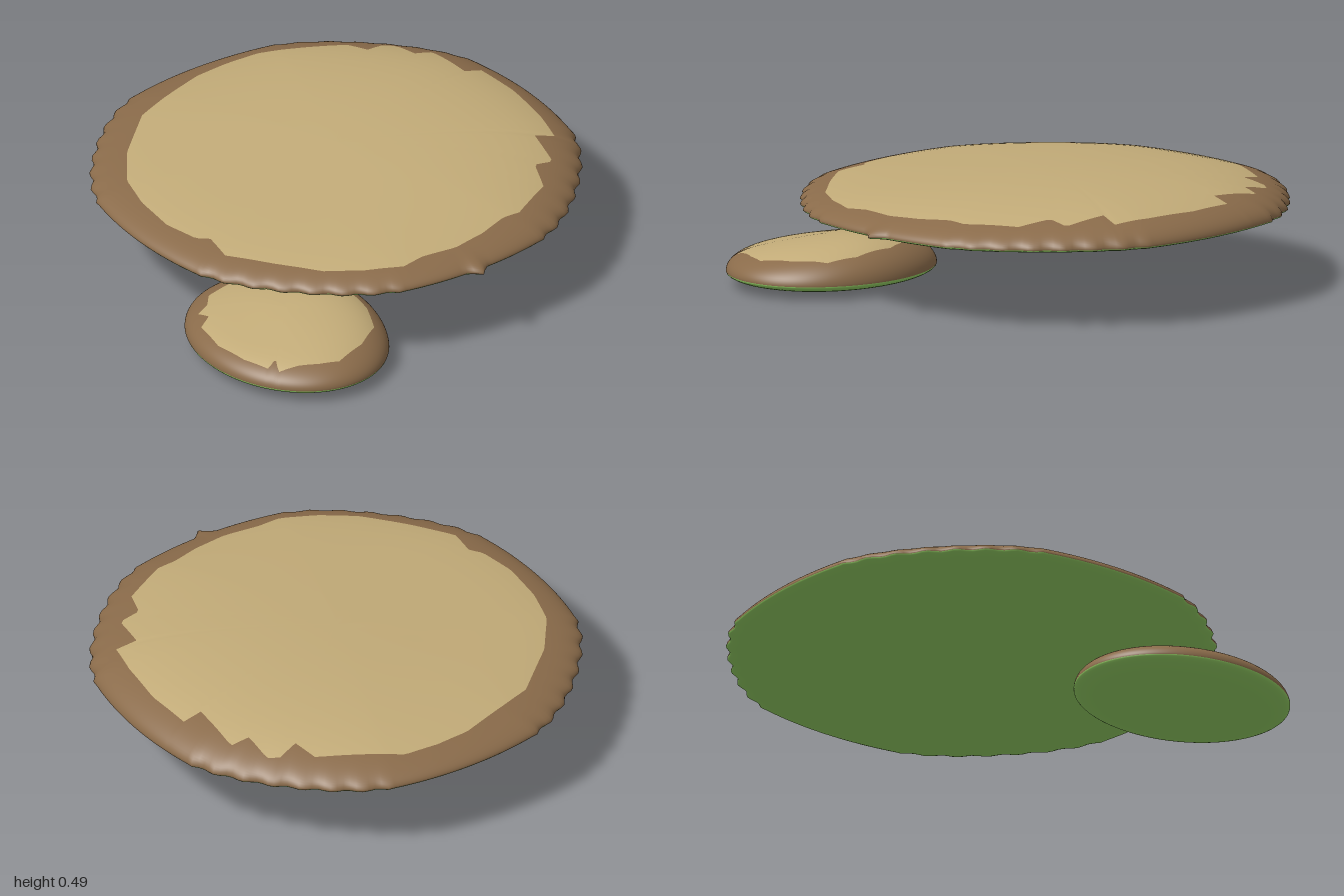
import * as THREE from 'three';

const COLS = 240;
const mat = (name, color) => Object.assign(new THREE.MeshStandardMaterial({ color }), { name });

// Distance from (cx, cz) to a closed outline along direction a
function rayToOutline(pts, cx, cz, a) {
  const dx = Math.cos(a), dz = Math.sin(a);
  let best = 0;
  pts.forEach(([x1, z1], i) => {
    const [x2, z2] = pts[(i + 1) % pts.length];
    const ex = x2 - x1, ez = z2 - z1, den = dx * ez - dz * ex;
    if (Math.abs(den) < 1e-9) return;
    const px = x1 - cx, pz = z1 - cz;
    const t = (px * ez - pz * ex) / den, s = (px * dz - pz * dx) / den;
    if (t > 0 && s >= -1e-6 && s <= 1 + 1e-6) best = Math.max(best, t);
  });
  return best;
}

// Domed disc made of rings: patch, outer rim, then underside
function domedDisc({ name, cx, cz, rimY, rise, drop, tilt, radius, ripple, patch }, materials) {
  const pos = [], index = [];
  const rings = [12, 12, 16];
  const rows = rings[0] + rings[1] + rings[2];
  for (let r = 0; r <= rows; r++) {
    for (let c = 0; c < COLS; c++) {
      const a = (c / COLS) * Math.PI * 2, sin = Math.sin(a);
      const R = radius(a);
      const edge = Math.asin(Math.min(0.985, rayToOutline(patch, cx, cz, a) / R));
      let phi;
      if (r <= rings[0]) phi = edge * r / rings[0];
      else if (r <= rings[0] + rings[1]) phi = edge + (Math.PI / 2 - edge) * (r - rings[0]) / rings[1];
      else phi = Math.PI / 2 * (1 + (r - rings[0] - rings[1]) / rings[2]);
      const u = Math.sin(phi), h = Math.cos(phi);
      // The dome leans back, fading towards the front rim
      const lean = tilt * u * sin * Math.max(0, h) ** (1 + sin);
      const y = rimY + (h > 0 ? h * (rise - lean) : h * drop);
      const d = u * (R + ripple(a) * u ** 30);
      pos.push(cx + d * Math.cos(a), y, cz + d * sin);
    }
  }
  for (let r = 0; r < rows; r++) {
    for (let c = 0; c < COLS; c++) {
      const n = (c + 1) % COLS;
      const p = r * COLS + c, q = r * COLS + n, s = p + COLS, t = q + COLS;
      index.push(p, q, s, q, t, s);
    }
  }
  const geo = new THREE.BufferGeometry();
  geo.setAttribute('position', new THREE.Float32BufferAttribute(pos, 3));
  geo.setIndex(index);
  let start = 0;
  rings.forEach((n, i) => {
    geo.addGroup(start, n * COLS * 6, i);
    start += n * COLS * 6;
  });
  geo.computeVertexNormals();
  const mesh = new THREE.Mesh(geo, materials);
  mesh.name = name;
  return mesh;
}

// Angle in degrees within a quadrant, and from its nearest axis
function quadrant(a) {
  const deg = a * 180 / Math.PI, q = deg % 90;
  return { deg, q, d: Math.min(q, 90 - q) };
}

// Large outline: four flattened sides joined by round corners
function largeRadius(a) {
  const { d } = quadrant(a);
  return d < 20 ? 0.97 + 0.022 * (d / 20) ** 2 : 0.985 + 0.007 * Math.cos((d - 20) / 25 * Math.PI);
}

// Scalloped corners and one small spur at +x
function largeRipple(a) {
  const { deg, q, d } = quadrant(a);
  if (d < 20) return 0.045 * Math.max(0, 1 - Math.min(deg, 360 - deg) / 2.5);
  return 0.008 * Math.cos((q - 20) / 50 * 7 * Math.PI * 2);
}

const RX = 0.465, RZ = 0.38;
const smallRadius = (a) => 1 / Math.hypot(Math.cos(a) / RX, Math.sin(a) / RZ);

const largePatch = [
  [-0.7, -0.57], [-0.58, -0.6], [-0.63, -0.67], [-0.59, -0.73], [-0.46, -0.73], [-0.45, -0.81],
  [-0.19, -0.8], [-0.22, -0.88], [0, -0.89], [0.22, -0.86], [0.38, -0.82], [0.34, -0.74],
  [0.53, -0.7], [0.53, -0.61], [0.66, -0.56], [0.77, -0.36], [0.77, -0.28], [0.81, -0.15],
  [0.83, 0], [0.81, 0.15], [0.82, 0.25], [0.75, 0.4], [0.66, 0.53], [0.5, 0.66],
  [0.33, 0.78], [0.2, 0.76], [0.16, 0.8], [0, 0.83], [-0.2, 0.81], [-0.37, 0.76],
  [-0.55, 0.63], [-0.75, 0.41], [-0.8, 0.27], [-0.87, 0.05], [-0.88, -0.1], [-0.87, -0.25],
];
const smallPatch = [
  [0.8, 0.38], [0.88, 0.5], [0.92, 0.64], [0.89, 0.72], [0.85, 0.79], [0.82, 0.87],
  [0.76, 0.84], [0.78, 0.89], [0.67, 0.93], [0.52, 0.95], [0.36, 0.92], [0.33, 0.86],
  [0.27, 0.87], [0.25, 0.81], [0.19, 0.76], [0.18, 0.62], [0.22, 0.5], [0.32, 0.38],
  [0.5, 0.32], [0.68, 0.33],
];

export function createModel() {
  const group = new THREE.Group();
  group.name = 'floatingDiscs';
  const materials = [mat('tan', 0xc2ab78), mat('brown', 0x8a6b4a), mat('green', 0x94d064)];
  group.add(
    domedDisc({
      name: 'largeDisc', cx: -0.03, cz: -0.03, rimY: 0.338, rise: 0.136, drop: 0.053,
      tilt: 0.06, radius: largeRadius, ripple: largeRipple, patch: largePatch,
    }, materials),
    domedDisc({
      name: 'smallDisc', cx: 0.533, cz: 0.62, rimY: 0.06, rise: 0.136, drop: 0.06,
      tilt: 0.06, radius: smallRadius, ripple: () => 0, patch: smallPatch,
    }, materials),
  );
  return group;
}
